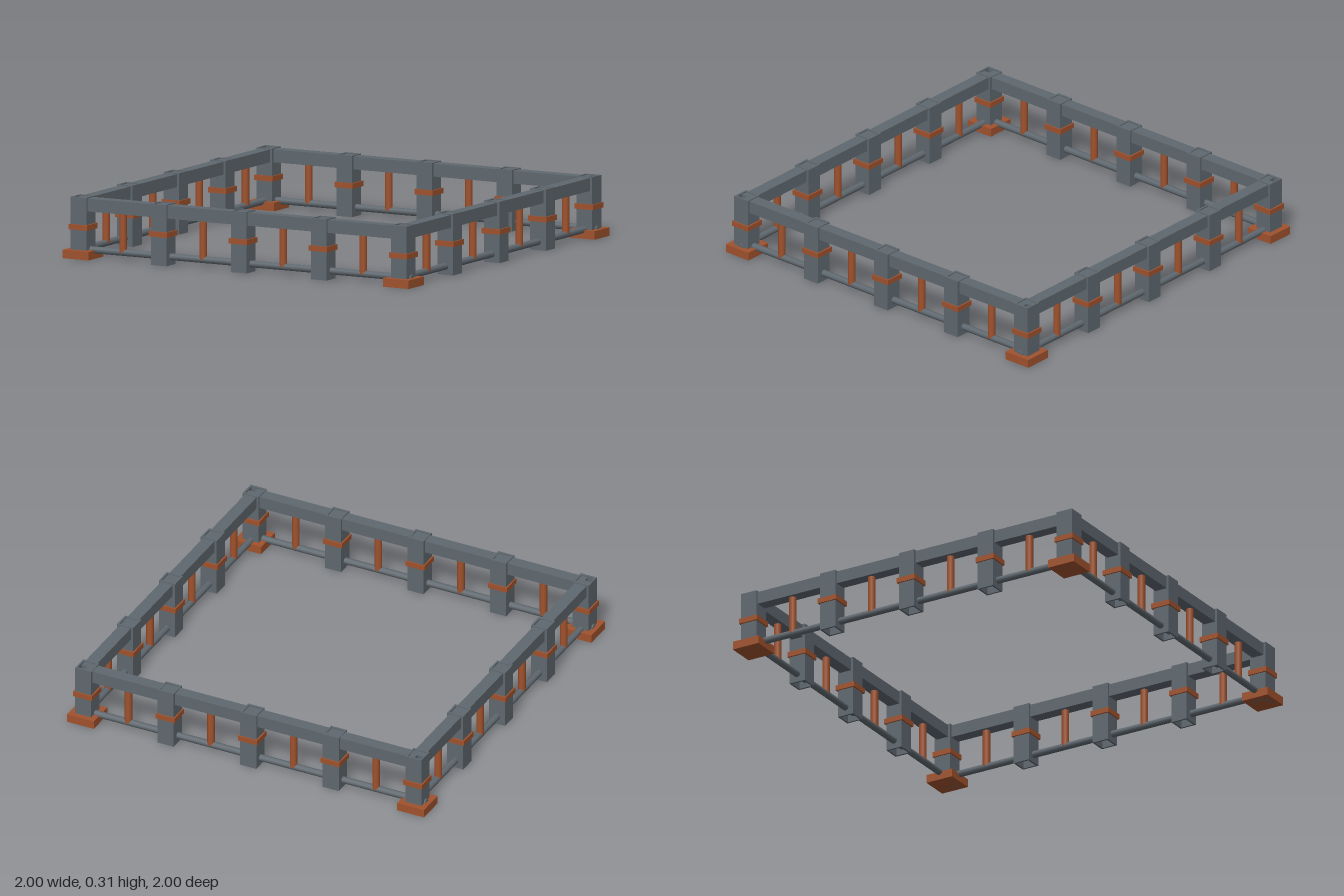
import * as THREE from 'three';

const EDGE = 0.925;        // centre line of each side
const STEP = EDGE / 2;     // spacing between posts

const steel = new THREE.MeshStandardMaterial({ color: 0x5f686f });
steel.name = 'slate steel';
const rust = new THREE.MeshStandardMaterial({ color: 0xa0522d });
rust.name = 'rust brown';

// Upright hollow square tube, outer and inner half widths, from y0 to y1
function squareTube(outer, inner, y0, y1) {
  const square = (path, r) =>
    path.moveTo(-r, -r).lineTo(r, -r).lineTo(r, r).lineTo(-r, r).closePath();
  const shape = new THREE.Shape();
  square(shape, outer);
  const hole = new THREE.Path();
  square(hole, inner);
  shape.holes.push(hole);
  const geo = new THREE.ExtrudeGeometry(shape, { depth: y1 - y0, bevelEnabled: false });
  return geo.rotateX(-Math.PI / 2).translate(0, y0, 0);
}

function add(parent, name, geo, mat, x = 0, y = 0, z = 0) {
  const mesh = new THREE.Mesh(geo, mat);
  mesh.name = name;
  mesh.position.set(x, y, z);
  parent.add(mesh);
  return mesh;
}

export function createModel() {
  const model = new THREE.Group();
  model.name = 'squareRailing';

  const postGeo = squareTube(0.045, 0.035, 0, 0.31);
  const collarGeo = squareTube(0.053, 0.044, 0.145, 0.172);
  const plateGeo = new THREE.BoxGeometry(0.15, 0.043, 0.15);
  const railGeo = new THREE.BoxGeometry(STEP, 0.065, 0.065);
  const balusterGeo = new THREE.CylinderGeometry(0.019, 0.019, 0.2, 12);

  for (let side = 0; side < 4; side++) {
    const group = new THREE.Group();
    group.name = ['frontSide', 'leftSide', 'backSide', 'rightSide'][side];
    group.rotation.y = side * Math.PI / 2;
    model.add(group);

    // Corner base plate
    add(group, 'basePlate', plateGeo, rust, -EDGE, 0.0215, EDGE);

    for (let i = 0; i < 4; i++) {
      const x = -EDGE + i * STEP;
      // Hollow post with collar; the next side supplies the far corner
      add(group, 'post', postGeo, steel, x, 0, EDGE);
      add(group, 'collar', collarGeo, rust, x, 0, EDGE);
      // Top rail segment and the baluster below its middle
      add(group, 'topRail', railGeo, steel, x + STEP / 2, 0.2725, EDGE);
      add(group, 'baluster', balusterGeo, rust, x + STEP / 2, 0.143, EDGE);
    }

    // Bottom pipe, poking through the corners on front and back
    const length = side % 2 === 0 ? 1.955 : 1.85;
    const pipe = new THREE.CylinderGeometry(0.0175, 0.0175, length, 12).rotateZ(Math.PI / 2);
    add(group, 'bottomRail', pipe, steel, 0, 0.043, EDGE);
  }
  return model;
}
